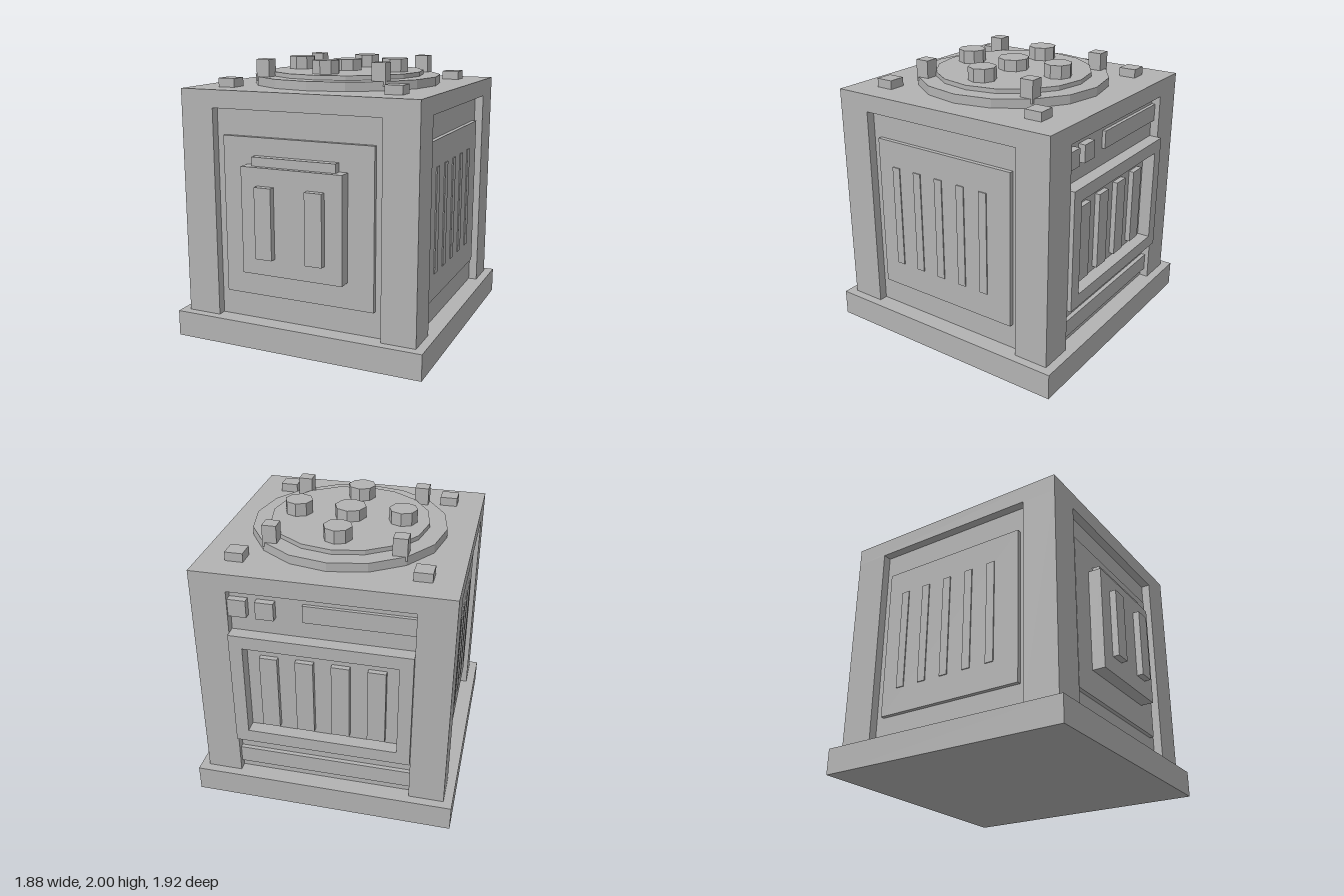
import * as THREE from 'three';

const U = 1 / 16; // modelling unit

export function createModel() {
  const grey = new THREE.MeshStandardMaterial({ color: 0xb2b2b2, flatShading: true });
  grey.name = 'grey';

  const root = new THREE.Group();
  root.name = 'machineBlock';
  root.position.z = -0.0234;

  // box from min/max corners, in units
  function box(parent, name, x0, x1, y0, y1, z0, z1) {
    const m = new THREE.Mesh(
      new THREE.BoxGeometry((x1 - x0) * U, (y1 - y0) * U, (z1 - z0) * U), grey);
    m.position.set((x0 + x1) / 2 * U, (y0 + y1) / 2 * U, (z0 + z1) / 2 * U);
    m.name = name;
    parent.add(m);
    return m;
  }

  // upright faceted disc, in units
  function disc(name, r, sides, x, z, y0, y1) {
    const m = new THREE.Mesh(new THREE.CylinderGeometry(r * U, r * U, (y1 - y0) * U, sides), grey);
    m.position.set(x * U, (y0 + y1) / 2 * U, z * U);
    m.name = name;
    root.add(m);
  }

  // group for one wall, built facing +z and then turned
  function wall(name, angle) {
    const g = new THREE.Group();
    g.name = name;
    g.rotation.y = angle;
    root.add(g);
    return g;
  }

  // casing
  box(root, 'base', -15, 15, 0, 3, -15, 15);
  box(root, 'core', -13, 13, 3, 27, -13, 13);
  box(root, 'topSlab', -14, 14, 27, 29, -14, 14);
  for (const x of [-14, 10]) for (const z of [-14, 10])
    box(root, 'cornerPost', x, x + 4, 3, 27, z, z + 4);

  // front: panel with a raised door and two handles
  const front = wall('frontWall', 0);
  box(front, 'frontPanel', -9, 9, 6, 24, 13, 13.5);
  box(front, 'door', -6, 6, 9, 21, 13.5, 15);
  box(front, 'doorLip', -5, 5, 21, 22, 13.5, 14.4);
  for (const x of [-4, 2]) box(front, 'handle', x, x + 2, 11, 19, 15, 15.75);

  // sides: panels with five slats
  for (const [name, angle] of [['rightWall', Math.PI / 2], ['leftWall', -Math.PI / 2]]) {
    const side = wall(name, angle);
    box(side, 'sidePanel', -9, 9, 6, 24, 13, 13.5);
    for (let i = -2; i <= 2; i++)
      box(side, 'slat', i * 3 - 0.5 - 0.5, i * 3, 9, 21, 13.5, 13.62);
  }

  // back: framed grille, buttons and strips (local x is mirrored)
  const back = wall('backWall', Math.PI);
  box(back, 'grilleFrameTop', -10, 10, 20.5, 22, 13, 14.5);
  box(back, 'grilleFrameBottom', -10, 10, 8, 9.5, 13, 14.5);
  for (const x of [-10, 8.5]) box(back, 'grilleFrameSide', x, x + 1.5, 9.5, 20.5, 13, 14.5);
  for (const x of [-7, -3, 1, 5]) box(back, 'grilleBar', x, x + 2, 10, 19, 13, 13.6);
  for (const x of [-10, -7]) box(back, 'button', x, x + 2, 24, 26, 13, 13.8);
  box(back, 'upperStrip', -2, 10, 24, 26, 13, 13.4);
  box(back, 'lowerStrip', -10, 10, 4, 6, 13, 13.5);

  // top: stepped disc with knobs, clamps and corner pads
  disc('lowerDisc', 11, 16, 0, 0, 29, 30);
  disc('upperDisc', 9, 16, 0, 0, 30, 30.5);
  disc('centreKnob', 1.8, 8, 0, 0, 30.5, 31.8);
  for (const [x, z] of [[6, 0], [-6, 0], [0, 6], [0, -6]])
    disc('outerKnob', 1.6, 8, x, z, 30.5, 32);
  for (const sx of [-1, 1]) for (const sz of [-1, 1]) {
    const c = 7.07;
    box(root, 'clamp', sx * c - 0.8, sx * c + 0.8, 29.5, 32, sz * c - 0.8, sz * c + 0.8);
    box(root, 'cornerPad', sx * 10 - 1, sx * 10 + 1, 29, 30, sz * 10 - 1, sz * 10 + 1);
  }

  return root;
}
